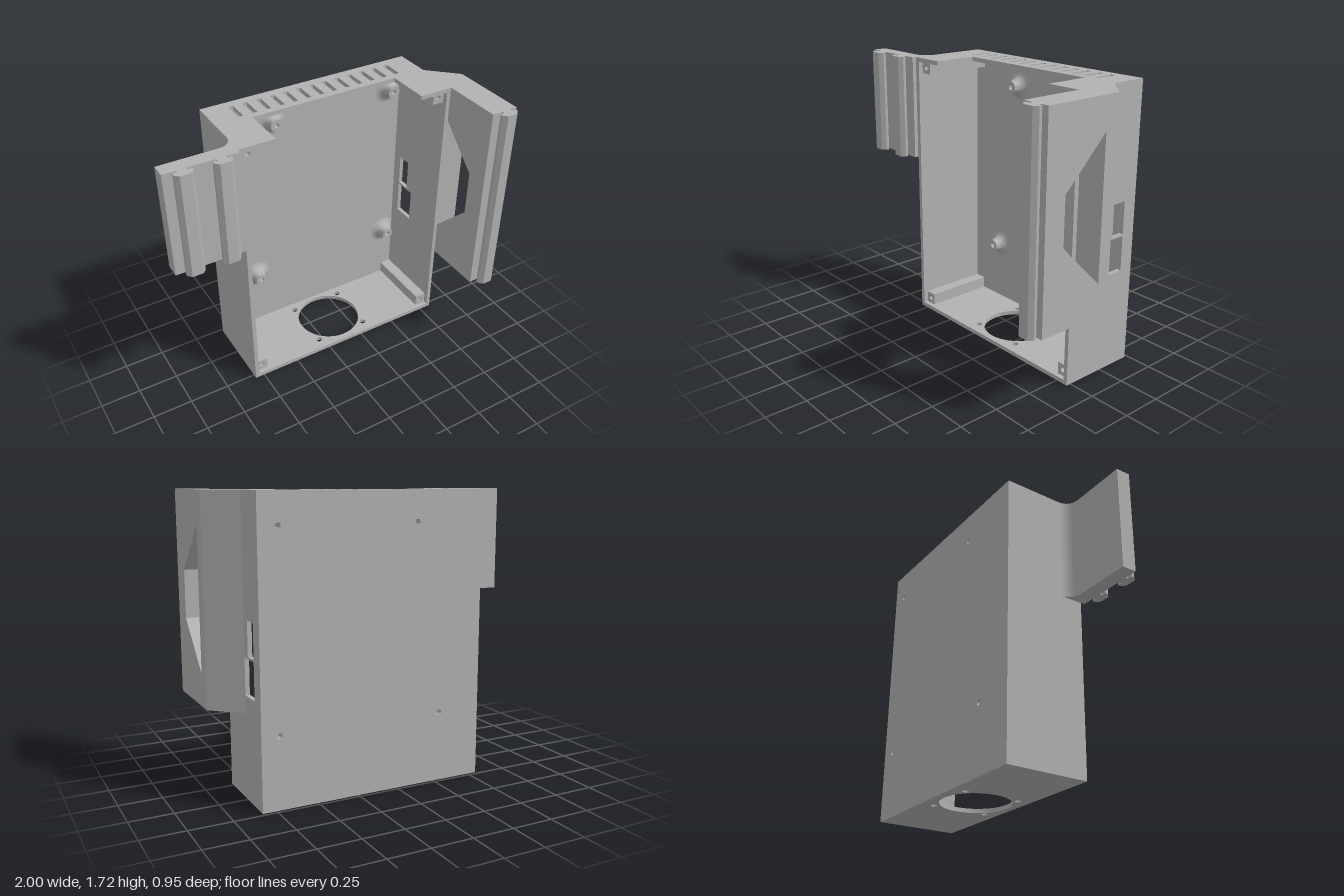
import * as THREE from 'three';
import { toCreasedNormals } from 'three/addons/utils/BufferGeometryUtils.js';

const grey = new THREE.MeshStandardMaterial({ color: 0xb2b2b2 });
grey.name = 'grey plastic';

// Main box limits and wall thickness
const L = -0.56, R = 0.83, H = 1.72, BACK = -0.48, FRONT = 0.03, T = 0.026;

const polygon = (pts) => new THREE.Shape(pts.map(([a, b]) => new THREE.Vector2(a, b)));
const rect = (a0, b0, a1, b1) => polygon([[a0, b0], [a1, b0], [a1, b1], [a0, b1]]);
const circle = (a, b, r) => new THREE.Path().absarc(a, b, r, 0, Math.PI * 2, true);

function extrude(shape, holes, depth) {
  shape.holes.push(...holes);
  const geo = new THREE.ExtrudeGeometry(shape, { depth, bevelEnabled: false, curveSegments: 32 });
  return toCreasedNormals(geo, 0.5);
}

// Outline in (x, y), pushed along z
const alongZ = (shape, holes, z0, z1) => extrude(shape, holes, z1 - z0).translate(0, 0, z0);
// Outline in (x, -z), pushed along y
const alongY = (shape, holes, y0, y1) => extrude(shape, holes, y1 - y0).rotateX(-Math.PI / 2).translate(0, y0, 0);
// Outline in (-z, y), pushed along x
const alongX = (shape, holes, x0, x1) => extrude(shape, holes, x1 - x0).rotateY(Math.PI / 2).translate(x0, 0, 0);

// Mushroom-shaped sliding rail, rooted at (x, z)
function rail(x, z, y0, y1) {
  const half = [[0.028, -0.002], [0.028, 0.018], [0.055, 0.018], [0.055, 0.036], [0.032, 0.06]];
  const pts = [...half, ...half.slice().reverse().map(([a, b]) => [-a, b])];
  return alongY(polygon(pts.map(([a, b]) => [x + a, -(z + b)])), [], y0, y1);
}

export function createModel() {
  const group = new THREE.Group();
  const add = (name, geo) => {
    const mesh = new THREE.Mesh(geo, grey);
    mesh.name = name;
    group.add(mesh);
  };

  // Back panel with screw holes under the standoffs
  const mounts = [[-0.125, 1.54], [0.715, 1.54], [-0.285, 0.42], [0.725, 0.42]];
  add('backPanel', alongZ(rect(L, 0, R, H), mounts.map(([x, y]) => circle(x, y, 0.016)), BACK, BACK + T));

  // Hollow standoffs with a flared foot
  for (const [x, y] of mounts) {
    const profile = [];
    for (let i = 0; i <= 10; i++) {
      const a = (i / 10) * Math.PI / 2;
      profile.push(new THREE.Vector2(0.1 - 0.06 * Math.sin(a), 0.06 - 0.06 * Math.cos(a)));
    }
    profile.push(new THREE.Vector2(0.04, 0.075), new THREE.Vector2(0.016, 0.075), new THREE.Vector2(0.016, 0));
    const geo = toCreasedNormals(new THREE.LatheGeometry(profile, 32), 0.6);
    add('standoff', geo.rotateX(Math.PI / 2).translate(x, y, BACK + T));
  }

  // Top wall with a wide front notch and a row of vent slots
  const slots = [];
  for (let i = 0; i < 13; i++) {
    const x = -0.392 + i * 0.0878;
    slots.push(rect(x - 0.015, 0.29, x + 0.015, 0.425));
  }
  const topOutline = polygon([
    [L, -FRONT], [-0.34, -FRONT], [-0.34, 0.247], [0.615, 0.247],
    [0.615, -FRONT], [R, -FRONT], [R, -BACK - T], [L, -BACK - T],
  ]);
  add('topWall', alongY(topOutline, slots, H - T, H));

  // Bottom wall with the fan opening and its screw holes
  const fanX = 0.135, fanZ = -0.22;
  const fanHoles = [circle(fanX, -fanZ, 0.21)];
  for (const sx of [-1, 1]) for (const sz of [-1, 1]) {
    fanHoles.push(circle(fanX + sx * 0.175, -fanZ + sz * 0.173, 0.02));
  }
  add('bottomWall', alongY(rect(L, -FRONT, R, -BACK - T), fanHoles, 0, T));

  // Side walls, one with two connector windows
  const side = () => rect(-FRONT, T, -BACK - T, H - T);
  add('rightWall', alongX(side(), [], L, L + T));
  add('leftWall', alongX(side(), [
    rect(0.30, 0.83, 0.39, 1.03),
    rect(0.247, 0.605, 0.39, 0.818),
  ], R - T, R));

  // Corner posts with blind screw holes for the lid
  const P = 0.075;
  for (const x0 of [L + T, R - T - P]) for (const y0 of [T, H - T - P]) {
    const outline = () => rect(x0, y0, x0 + P, y0 + P);
    add('cornerPost', alongZ(outline(), [], BACK + T, -0.15));
    add('cornerPostTip', alongZ(outline(), [circle(x0 + P / 2, y0 + P / 2, 0.015)], -0.15, 0));
  }

  // Short flat arm with a filleted root and two rails
  const arm = new THREE.Shape();
  arm.moveTo(-1, -0.055);
  arm.lineTo(L - 0.004, -0.055);
  arm.lineTo(L - 0.004, -FRONT);
  arm.lineTo(L, -FRONT);
  arm.lineTo(L, 0.115);
  arm.absarc(L - 0.08, 0.115, 0.08, 0, -Math.PI / 2, true);
  arm.lineTo(-1, 0.035);
  add('shortArm', alongY(arm, [], 1.07, H));
  for (const x of [-0.892, -0.672]) add('shortArmRail', rail(x, 0.055, 1.07, H));

  // Long deep arm with a trapezoid opening, a sloped root and one rail
  const opening = polygon([[0, 0.692], [0, 1.53], [-0.28, 1.255], [-0.28, 0.97]]);
  add('longArm', alongX(rect(-0.415, 0.5, 0.082, H), [opening], R, 1));
  add('longArmSlope', alongY(polygon([[R, 0.082], [1, 0.082], [R, 0.247]]), [], 0.5, H));
  add('longArmRail', rail(0.922, 0.415, 0.5, H));

  return group;
}
